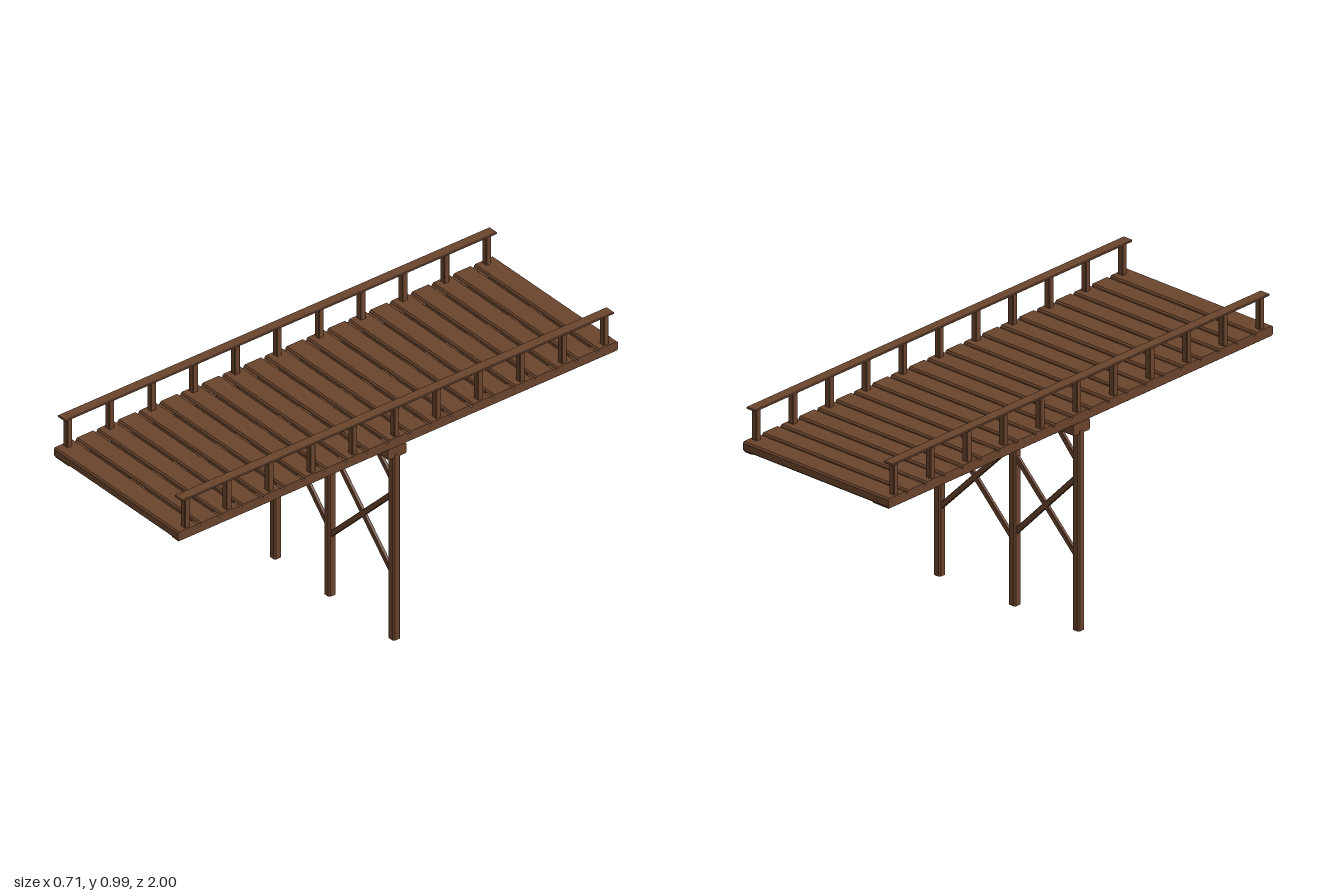
import * as THREE from 'three';

const wood = new THREE.MeshStandardMaterial({ color: 0x6a442d });
wood.name = 'brown wood';

// Chamfered timber running along one axis; sx, sy, sz are its full sizes
function timber(name, axis, sx, sy, sz, x, y, z, c = 0.004) {
  const [w, h, len] = axis === 'x' ? [sz, sy, sx] : axis === 'y' ? [sx, sz, sy] : [sx, sy, sz];
  const a = w / 2, b = h / 2;
  const shape = new THREE.Shape([
    [-a + c, -b], [a - c, -b], [a, -b + c], [a, b - c],
    [a - c, b], [-a + c, b], [-a, b - c], [-a, -b + c],
  ].map(p => new THREE.Vector2(...p)));
  const g = new THREE.ExtrudeGeometry(shape, { depth: len, bevelEnabled: false });
  g.translate(0, 0, -len / 2);
  if (axis === 'x') g.rotateY(Math.PI / 2);
  if (axis === 'y') g.rotateX(-Math.PI / 2);
  const m = new THREE.Mesh(g, wood);
  m.name = name;
  m.position.set(x, y, z);
  return m;
}

// Diagonal brace between two points in the plane of the trestle
function brace(name, x1, y1, x2, y2, z) {
  const len = Math.hypot(x2 - x1, y2 - y1) + 0.012;
  const m = timber(name, 'x', len, 0.021, 0.014, (x1 + x2) / 2, (y1 + y2) / 2, z, 0.002);
  m.rotation.z = Math.atan2(y2 - y1, x2 - x1);
  return m;
}

export function createModel() {
  const model = new THREE.Group();
  model.name = 'trestleBridge';
  const zc = 0.005;

  // Trestle: three posts, cap beam, cross braces and knee braces
  const trestle = new THREE.Group();
  trestle.name = 'trestle';
  for (const x of [-0.338, -0.028, 0.338]) {
    trestle.add(timber('post', 'y', 0.034, 0.785, 0.034, x, 0.3925, zc, 0.006));
  }
  trestle.add(timber('capBeam', 'x', 0.708, 0.044, 0.084, 0, 0.796, zc));
  const crosses = [
    [-0.323, 0.585, -0.043, 0.295], [-0.323, 0.295, -0.043, 0.575],
    [-0.013, 0.617, 0.323, 0.277], [-0.013, 0.264, 0.323, 0.6],
  ];
  for (const p of crosses) trestle.add(brace('crossBrace', ...p, zc));
  const knees = [
    [-0.325, 0.667, -0.222, 0.78], [-0.15, 0.78, -0.04, 0.67],
    [-0.015, 0.667, 0.1, 0.78], [0.21, 0.78, 0.325, 0.667],
  ];
  for (const p of knees) trestle.add(brace('kneeBrace', ...p, zc));
  model.add(trestle);

  // Deck: cross planks with stringers let in almost flush
  const deck = new THREE.Group();
  deck.name = 'deck';
  const count = 21, pitch = 2 / count;
  for (let i = 0; i < count; i++) {
    const end = i === 0 || i === count - 1;
    const z = -1 + pitch * (i + 0.5);
    const d = end ? pitch - 0.005 : pitch - 0.01;
    const shift = end ? Math.sign(z) * 0.0025 : 0;
    deck.add(timber('plank', 'x', 0.708, 0.038, d, 0, 0.838, z + shift, 0.006));
  }
  deck.add(timber('leftStringer', 'z', 0.044, 0.034, 1.99, 0.332, 0.833, 0));
  deck.add(timber('rightStringer', 'z', 0.083, 0.034, 1.99, -0.3125, 0.833, 0));
  deck.add(timber('middleStringer', 'z', 0.08, 0.03, 1.96, 0, 0.833, 0));
  model.add(deck);

  // Railings on both sides
  for (const s of [-1, 1]) {
    const railing = new THREE.Group();
    railing.name = s > 0 ? 'leftRailing' : 'rightRailing';
    for (let i = 0; i < 11; i++) {
      railing.add(timber('baluster', 'y', 0.025, 0.134, 0.023, s * 0.334, 0.914, -0.952 + i * 0.1904, 0.002));
    }
    railing.add(timber('handrail', 'z', 0.042, 0.008, 1.96, s * 0.333, 0.983, 0, 0.001));
    model.add(railing);
  }
  return model;
}
